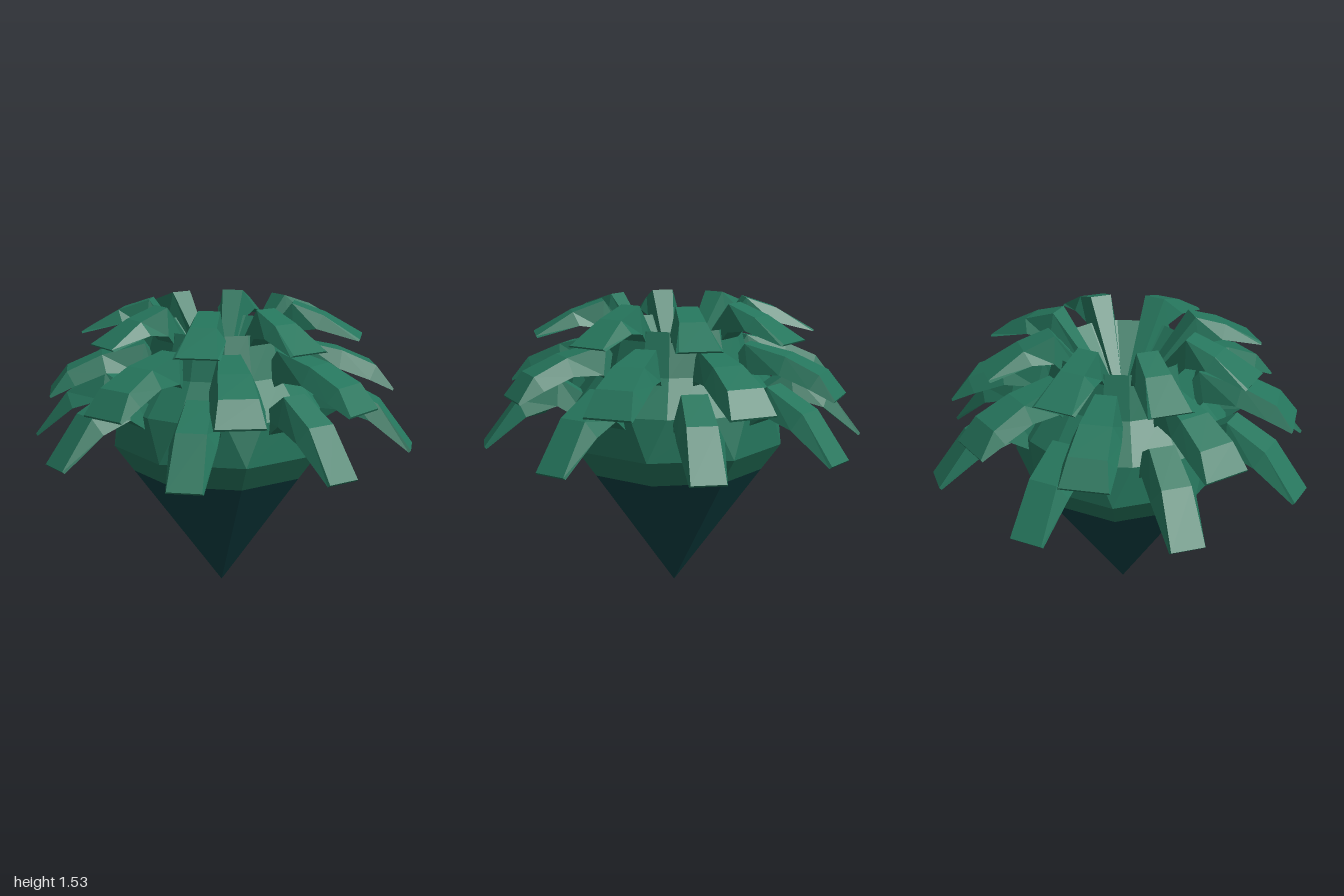
import * as THREE from 'three';

const rad = THREE.MathUtils.degToRad;

// Skin a list of equal-sized rings into a flat-faceted surface
function loft(rings, capped = false) {
  const pos = [];
  const quad = (a, b, c, d) => [a, b, c, a, c, d].forEach((p) => pos.push(...p));
  for (let k = 0; k < rings.length - 1; k++) {
    const a = rings[k], b = rings[k + 1], n = a.length;
    for (let i = 0; i < n; i++) {
      const j = (i + 1) % n;
      quad(a[i], a[j], b[j], b[i]);
    }
  }
  if (capped) {
    quad(...[...rings[0]].reverse());
    quad(...rings[rings.length - 1]);
  }
  const geo = new THREE.BufferGeometry();
  geo.setAttribute('position', new THREE.Float32BufferAttribute(pos, 3));
  geo.computeVertexNormals();
  return geo;
}

// Body ring: eight corners, each split in two by a spread angle
function bodyRing(r, y, spread) {
  const ring = [];
  for (let i = 0; i < 8; i++) {
    for (const s of [-1, 1]) {
      const a = rad(14.7 + 45 * i + s * spread);
      ring.push([r * Math.sin(a), y, r * Math.cos(a)]);
    }
  }
  return ring;
}

// Leaf section: ridge radius, height, width, then the same for the underside
const leafRing = ([r, y, w, rb, yb, wb]) => [
  [w / 2, y, r], [-w / 2, y, r], [-wb / 2, yb, rb], [wb / 2, yb, rb],
];

const tiers = [
  {
    name: 'lowerLeaf', angle: -7.5, sections: [
      [0.40, 1.00, 0.10, 0.44, 0.88, 0.14],
      [0.61, 1.14, 0.13, 0.62, 1.00, 0.21],
      [0.82, 1.03, 0.15, 0.78, 0.95, 0.23],
      [0.996, 0.795, 0.17, 0.985, 0.785, 0.18],
    ],
  },
  {
    name: 'middleLeaf', angle: 8, sections: [
      [0.26, 1.12, 0.09, 0.32, 1.02, 0.14],
      [0.40, 1.32, 0.11, 0.43, 1.17, 0.18],
      [0.62, 1.27, 0.16, 0.60, 1.18, 0.24],
      [0.80, 1.19, 0.19, 0.76, 1.12, 0.26],
      [0.89, 1.07, 0.24, 0.885, 1.06, 0.25],
    ],
  },
  {
    name: 'upperLeaf', angle: -7, sections: [
      [0.05, 1.12, 0.035, 0.07, 1.02, 0.05],
      [0.37, 1.53, 0.11, 0.38, 1.39, 0.16],
      [0.53, 1.475, 0.13, 0.50, 1.41, 0.21],
      [0.72, 1.363, 0.20, 0.715, 1.355, 0.23],
    ],
  },
];

export function createModel() {
  const leafGreen = new THREE.MeshStandardMaterial({ color: 0x25755c });
  leafGreen.name = 'leafGreen';
  const deepTeal = new THREE.MeshStandardMaterial({ color: 0x0d3f42 });
  deepTeal.name = 'deepTeal';

  const model = new THREE.Group();
  model.name = 'leafyBulb';
  const add = (name, geo, mat, parent = model) => {
    const mesh = new THREE.Mesh(geo, mat);
    mesh.name = name;
    parent.add(mesh);
    return mesh;
  };

  // Pointed lower cone
  add('bulbTip', loft([bodyRing(0, 0, 0), bodyRing(0.468, 0.645, 0)]), deepTeal);

  // Faceted shoulder, closing over into a sunken bowl
  add('bulbShoulder', loft([
    bodyRing(0.468, 0.645, 0),
    bodyRing(0.57, 0.785, 0),
    bodyRing(0.54, 1.0, 10),
    bodyRing(0.40, 1.18, 10),
    bodyRing(0.34, 1.40, 10),
    bodyRing(0.04, 1.09, 10),
    bodyRing(0, 1.13, 10),
  ]), leafGreen);

  // Three tiers of eight drooping leaves
  for (const { name, angle, sections } of tiers) {
    const geo = loft(sections.map(leafRing), true);
    const tier = new THREE.Group();
    tier.name = name + 'Tier';
    for (let i = 0; i < 8; i++) {
      add(name, geo, leafGreen, tier).rotation.y = rad(angle + 45 * i);
    }
    model.add(tier);
  }
  return model;
}
